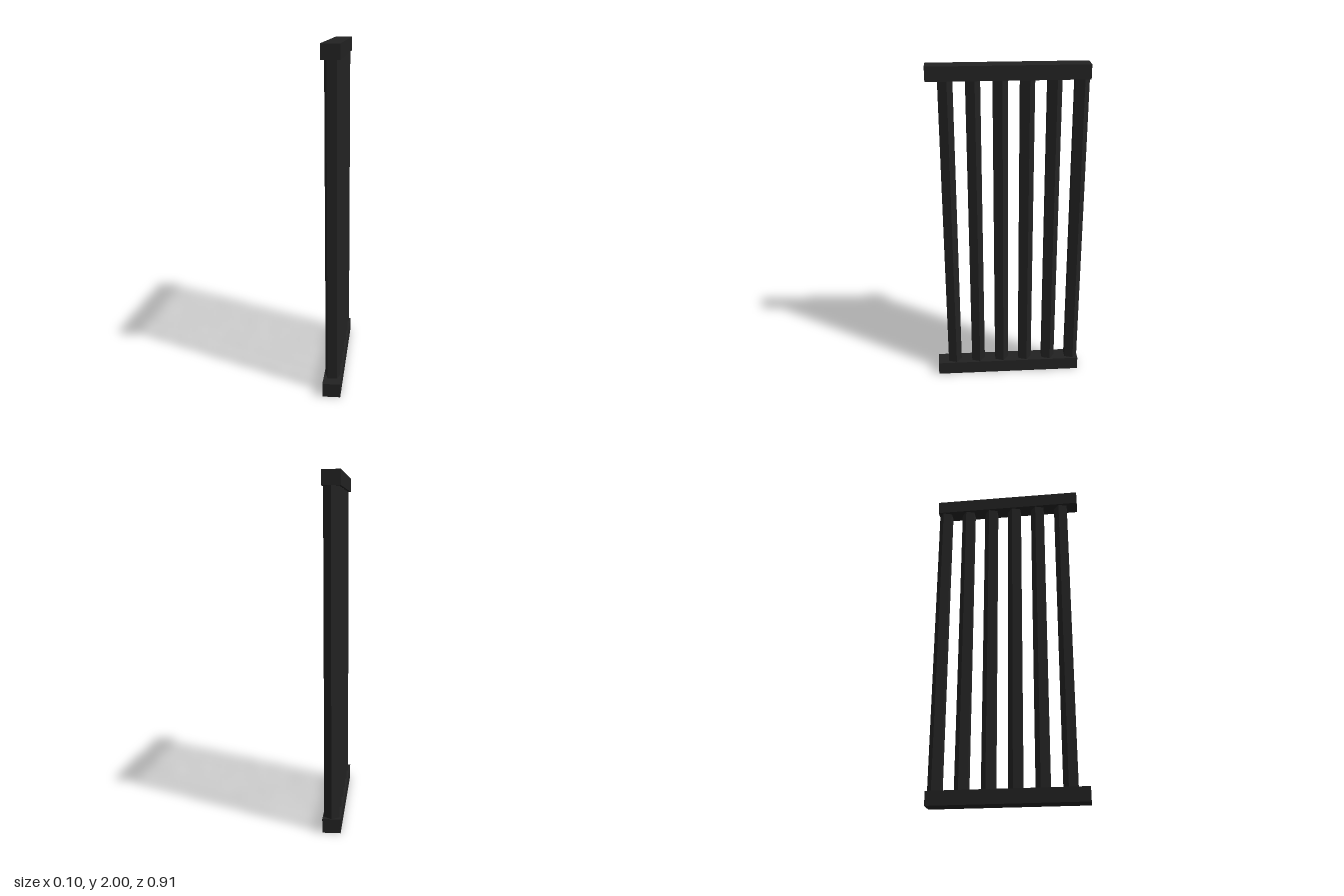
import * as THREE from 'three';

export function createModel() {
  const group = new THREE.Group();
  const material = new THREE.MeshStandardMaterial({ color: 0x222222, flatShading: true });

  const height = 2, railHeight = 0.082, railWidth = 0.104, railLength = 0.907;
  const barCount = 6, barRadius = 0.046, barSpacing = 0.1515;

  // Bottom and top rails
  const railGeometry = new THREE.BoxGeometry(railWidth, railHeight, railLength);
  for (const [name, y] of [['bottomRail', railHeight / 2], ['topRail', height - railHeight / 2]]) {
    const rail = new THREE.Mesh(railGeometry, material);
    rail.name = name;
    rail.position.y = y;
    group.add(rail);
  }

  // Five-sided upright bars, one corner towards the back, the last flush with the rail end
  const barGeometry = new THREE.CylinderGeometry(barRadius, barRadius, height - 2 * railHeight, 5);
  barGeometry.rotateY(Math.PI);
  const bars = new THREE.Group();
  bars.name = 'bars';
  for (let i = 0; i < barCount; i++) {
    const bar = new THREE.Mesh(barGeometry, material);
    bar.name = `bar${i + 1}`;
    bar.position.set(0, height / 2, -railLength / 2 + barRadius + i * barSpacing);
    bars.add(bar);
  }
  group.add(bars);

  return group;
}
